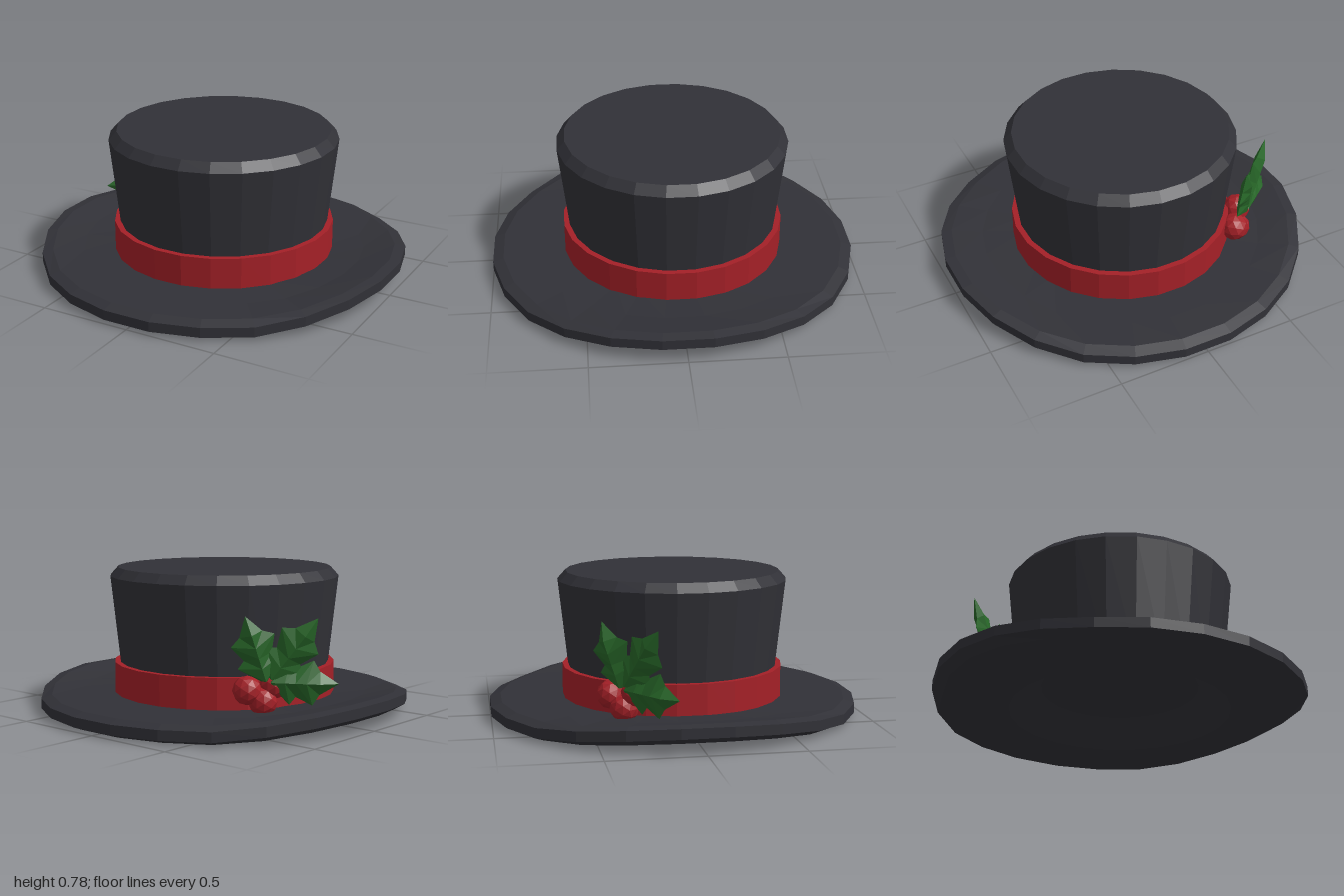
import * as THREE from 'three';

const SIDES = 24;
const mat = (color, extra = {}) =>
  new THREE.MeshStandardMaterial({ color, flatShading: true, ...extra });
const felt = mat(0x313137);
const red = mat(0xa42027);
const green = mat(0x276628, { side: THREE.DoubleSide });

function add(parent, name, geometry, material) {
  const mesh = new THREE.Mesh(geometry, material);
  mesh.name = name;
  parent.add(mesh);
  return mesh;
}

// 24-sided turned part with flats facing the axes
function turned(profile) {
  const points = profile.map(([r, y]) => new THREE.Vector2(r, y));
  return new THREE.LatheGeometry(points, SIDES, Math.PI / SIDES);
}

// Brim curls upward towards the left and right
function curl(geometry) {
  const p = geometry.attributes.position;
  for (let i = 0; i < p.count; i++) {
    const t = Math.max(0, (Math.abs(p.getX(i)) - 0.6) / 0.4);
    p.setY(i, p.getY(i) + 0.064 * t ** 1.5);
  }
  return geometry;
}

// Spiky leaf with a raised midrib: rows of [rib position, edge position, half width]
function leafGeometry(length, width) {
  const rows = [
    [0, 0, 0.2], [0.2, 0.28, 1], [0.36, 0.37, 0.64],
    [0.52, 0.62, 1], [0.72, 0.72, 0.52], [1, 1, 0],
  ];
  const v = [];
  const rib = (i, front) => [rows[i][0] * length, 0, i === 5 ? 0 : front ? 0.04 : -0.02];
  const edge = (i, s) => [rows[i][1] * length, s * rows[i][2] * width, 0];
  for (const front of [true, false]) {
    for (const s of [1, -1]) {
      for (let i = 0; i < rows.length - 1; i++) {
        const a = rib(i, front), b = rib(i + 1, front), c = edge(i + 1, s), d = edge(i, s);
        for (const [p, q, r] of [[a, b, c], [a, c, d]]) {
          if (front === (s > 0)) v.push(...p, ...q, ...r);
          else v.push(...p, ...r, ...q);
        }
      }
    }
  }
  const g = new THREE.BufferGeometry();
  g.setAttribute('position', new THREE.Float32BufferAttribute(v, 3));
  g.computeVertexNormals();
  return g;
}

export function createModel() {
  const hat = new THREE.Group();
  hat.name = 'topHat';

  // Domed hollow underside, rim and upper face of the brim
  add(hat, 'brim', curl(turned([
    [0, 0.23], [0.22, 0.21], [0.43, 0.135], [0.6, 0],
    [0.78, 0], [0.95, 0], [1.008, 0.022],
    [1.008, 0.075], [0.95, 0.095], [0.78, 0.095], [0.55, 0.095],
  ])), felt);

  // Flared crown with a bevelled top edge
  add(hat, 'crown', turned([[0.555, 0.09], [0.625, 0.73], [0.582, 0.778], [0, 0.778]]), felt);

  // Ribbon band
  add(hat, 'band', turned([[0.605, 0.09], [0.605, 0.262], [0.56, 0.262]]), red);

  // Holly sprig: local x runs along the band, z points outward
  const holly = new THREE.Group();
  holly.name = 'holly';
  holly.rotation.y = -3 * Math.PI / 4;
  hat.add(holly);

  const berries = [[0.07, 0.205, 0.64], [0.208, 0.23, 0.615], [0.15, 0.147, 0.635]];
  for (const position of berries) {
    add(holly, 'berry', new THREE.IcosahedronGeometry(0.076, 1), red).position.set(...position);
  }

  // Leaves: base and tip along the band and up, half width, outward lean
  const leaves = [
    [0.16, 0.26, 0.053, 0.59, 0.115, 0.12],
    [0.19, 0.27, 0.42, 0.58, 0.115, 0.15],
    [0.19, 0.25, 0.53, 0.24, 0.115, 0.11],
  ];
  for (const [x0, y0, x1, y1, width, lean] of leaves) {
    const length = Math.hypot(x1 - x0, y1 - y0);
    const leaf = add(holly, 'leaf', leafGeometry(length, width), green);
    leaf.position.set(x0, y0, 0.65);
    leaf.rotation.set(0, -lean, Math.atan2(y1 - y0, x1 - x0), 'ZYX');
  }

  return hat;
}
